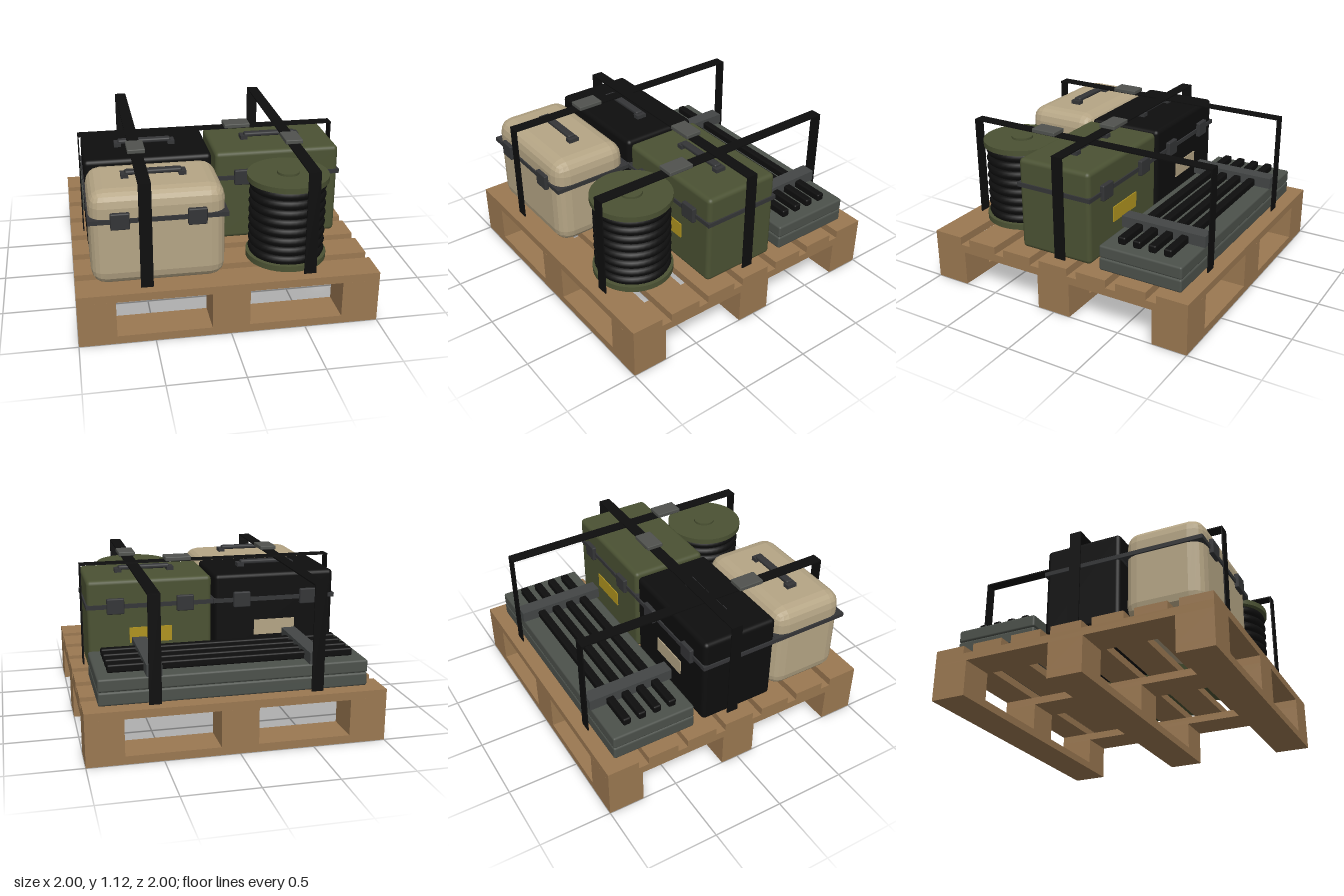
import * as THREE from 'three';
import { RoundedBoxGeometry } from 'three/addons/geometries/RoundedBoxGeometry.js';

const mat = (name, color) => {
  const m = new THREE.MeshStandardMaterial({ color });
  m.name = name;
  return m;
};

export function createModel() {
  const wood = mat('wood', 0x9b7851);
  const tan = mat('tan', 0xb5a585);
  const olive = mat('olive', 0x4b5233);
  const black = mat('black', 0x0e0e0e);
  const fitting = mat('dark fitting', 0x343537);
  const slabGrey = mat('slab grey', 0x4c514b);
  const battenGrey = mat('batten grey', 0x434646);
  const buckleGrey = mat('buckle grey', 0x50524e);
  const yellow = mat('yellow label', 0xb0941f);

  const model = new THREE.Group();
  const group = (name, parent = model) => {
    const g = new THREE.Group();
    g.name = name;
    parent.add(g);
    return g;
  };
  const add = (parent, name, geometry, material, x, y, z) => {
    const m = new THREE.Mesh(geometry, material);
    m.name = name;
    m.position.set(x, y, z);
    parent.add(m);
    return m;
  };
  // Box given by its limits on each axis
  const box = (parent, name, material, [x0, x1], [y0, y1], [z0, z1], r = 0) => {
    const s = [x1 - x0, y1 - y0, z1 - z0];
    const g = r ? new RoundedBoxGeometry(...s, 2, r) : new THREE.BoxGeometry(...s);
    return add(parent, name, g, material, (x0 + x1) / 2, (y0 + y1) / 2, (z0 + z1) / 2);
  };

  // Pallet: runners, blocks, stringers and deck boards
  const pallet = group('pallet');
  for (const a of [-0.875, 0, 0.875]) {
    const span = [a - 0.125, a + 0.125];
    box(pallet, 'bottomBoard', wood, [-1, 1], [0, 0.055], span);
    box(pallet, 'stringer', wood, span, [0.25, 0.305], [-1, 1]);
    for (const b of [-0.875, 0, 0.875]) {
      box(pallet, 'block', wood, span, [0.055, 0.25], [b - 0.125, b + 0.125]);
    }
  }
  for (let i = -3; i <= 3; i++) {
    const z = i * 0.2963;
    box(pallet, 'deckBoard', wood, [-1, 1], [0.305, 0.36], [z - 0.111, z + 0.111]);
  }

  // Equipment case with seam band, latches, handle and optional labels
  const makeCase = (name, material, x, z, radius, label) => {
    const c = group(name);
    c.position.set(x, 0.36, z);
    const g = new RoundedBoxGeometry(0.875, 0.65, 0.55, radius > 0.05 ? 2 : 3, radius);
    if (radius > 0.05) g.computeVertexNormals(); // faceted shell
    add(c, 'shell', g, material, 0, 0.325, 0);
    add(c, 'seamBand', new THREE.BoxGeometry(0.895, 0.03, 0.57), fitting, 0, 0.466, 0);
    for (const s of [-1, 1]) {
      for (const t of [-1, 1]) {
        add(c, 'latch', new RoundedBoxGeometry(0.122, 0.11, 0.035, 1, 0.008), fitting,
          s * 0.245, 0.47, t * 0.287);
      }
      add(c, 'handlePost', new THREE.BoxGeometry(0.048, 0.035, 0.075), fitting, s * 0.188, 0.66, 0);
      if (label) {
        add(c, 'label', new THREE.BoxGeometry(0.3, 0.11, 0.008), label, 0, 0.255, s * 0.278);
      }
    }
    add(c, 'handleGrip', new RoundedBoxGeometry(0.37, 0.03, 0.055, 2, 0.012), fitting, 0, 0.68, 0);
  };
  makeCase('tanCase', tan, -0.452, 0.622, 0.1, null);
  makeCase('blackCase', black, -0.452, 0.05, 0.03, tan);
  makeCase('oliveCase', olive, 0.448, 0.05, 0.03, yellow);

  // Hose spool
  const spool = group('spool');
  spool.position.set(0.448, 0, 0.62);
  const disc = (name, material, r, y0, y1) =>
    add(spool, name, new THREE.CylinderGeometry(r, r, y1 - y0, 40), material, 0, (y0 + y1) / 2, 0);
  disc('bottomFlange', olive, 0.275, 0.36, 0.4);
  disc('topFlange', olive, 0.275, 0.922, 0.96);
  disc('hub', olive, 0.075, 0.96, 0.976);
  disc('drum', black, 0.233, 0.4, 0.922);
  const coil = new THREE.TorusGeometry(0.228, 0.032, 8, 40).rotateX(Math.PI / 2);
  for (let i = 0; i < 8; i++) {
    add(spool, 'hoseCoil', coil, black, 0, 0.425 + i * 0.0665, 0);
  }

  // Stacked slabs with rods and cross battens
  const stack = group('panelStack');
  box(stack, 'lowerSlab', slabGrey, [-0.9, 0.9], [0.36, 0.452], [-0.9, -0.3], 0.014);
  box(stack, 'upperSlab', slabGrey, [-0.9, 0.9], [0.452, 0.54], [-0.9, -0.3], 0.014);
  for (let i = 0; i < 4; i++) {
    const z = -0.425 - i * 0.112;
    box(stack, 'rod', black, [-0.83, 0.825], [0.54, 0.595], [z - 0.028, z + 0.028], 0.012);
  }
  for (const x of [-0.54, 0.54]) {
    box(stack, 'crossBatten', battenGrey, [x - 0.05, x + 0.05], [0.54, 0.618], [-0.908, -0.29]);
  }

  // Tie-down straps with buckles
  const straps = group('straps');
  for (const x of [-0.54, 0.54]) {
    const w = [x - 0.041, x + 0.041];
    box(straps, 'longStrapTop', black, w, [1.073, 1.082], [-0.932, 0.932]);
    for (const s of [-1, 1]) {
      box(straps, 'longStrapSide', black, w, [0.36, 1.082], [s * 0.928 - 0.004, s * 0.928 + 0.004]);
    }
    box(straps, 'buckle', buckleGrey, [x - 0.06, x + 0.06], [1.08, 1.11], [0.235, 0.42], 0.006);
  }
  box(straps, 'crossStrapTop', black, [-0.912, 0.912], [1.083, 1.091], [-0.041, 0.041]);
  for (const s of [-1, 1]) {
    box(straps, 'crossStrapSide', black, [s * 0.908 - 0.004, s * 0.908 + 0.004], [0.36, 1.091], [-0.041, 0.041]);
  }
  box(straps, 'crossBuckle', buckleGrey, [0.123, 0.307], [1.09, 1.12], [-0.062, 0.06], 0.006);

  return model;
}
